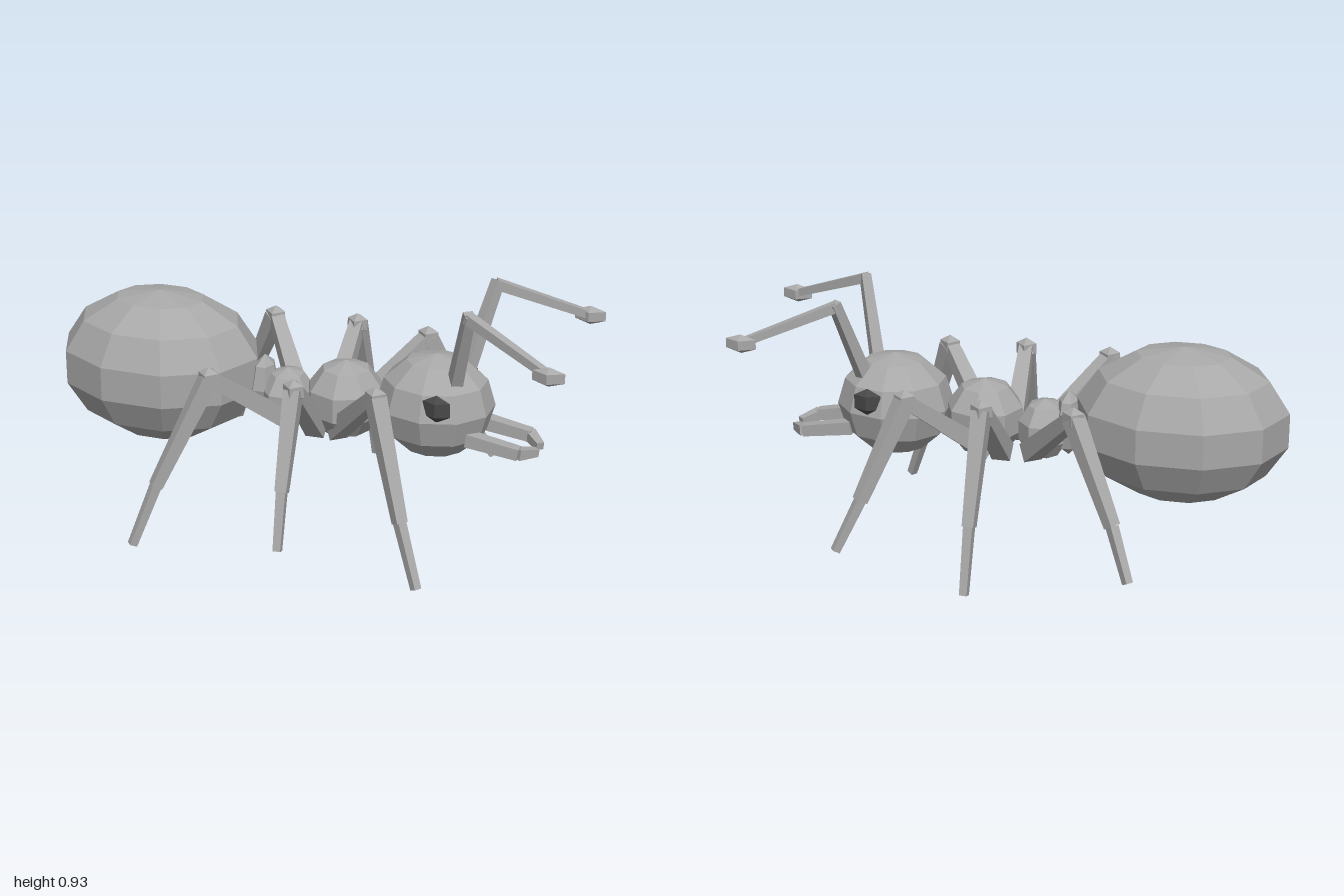
import * as THREE from 'three';

export function createModel() {
  const model = new THREE.Group();
  model.name = 'ant';

  const shell = new THREE.MeshStandardMaterial({ color: 0xa8a8a8, flatShading: true });
  shell.name = 'grey shell';
  const dark = new THREE.MeshStandardMaterial({ color: 0x484848, flatShading: true });
  dark.name = 'dark eye';

  // Faceted ellipsoid with its poles up and down
  function blob(parent, name, pos, radii, sides, rows, turn = 0, material = shell) {
    const geometry = new THREE.SphereGeometry(1, sides, rows);
    geometry.rotateY(turn);
    geometry.scale(...radii);
    const mesh = new THREE.Mesh(geometry, material);
    mesh.position.set(...pos);
    mesh.name = name;
    parent.add(mesh);
  }

  // Square tapered bar from a to b; w0 and w1 are the widths at the ends
  function bar(parent, name, a, b, w0, w1) {
    const start = new THREE.Vector3(...a);
    const end = new THREE.Vector3(...b);
    const geometry = new THREE.CylinderGeometry(w1 * Math.SQRT1_2, w0 * Math.SQRT1_2, start.distanceTo(end), 4);
    geometry.rotateY(Math.PI / 4);
    geometry.rotateX(Math.PI / 2);
    const mesh = new THREE.Mesh(geometry, shell);
    mesh.position.copy(start).lerp(end, 0.5);
    mesh.lookAt(end);
    mesh.name = name;
    parent.add(mesh);
  }

  // Body, from tail to head along +x
  blob(model, 'abdomen', [-0.615, 0.5125, 0], [0.395, 0.2875, 0.304], 10, 7);
  blob(model, 'waistNode', [-0.2, 0.475, 0], [0.05, 0.125, 0.075], 6, 4);
  blob(model, 'rearThorax', [-0.11, 0.445, 0], [0.1, 0.115, 0.12], 8, 5, Math.PI / 8);
  blob(model, 'frontThorax', [0.115, 0.472, 0], [0.15, 0.148, 0.152], 8, 5);
  blob(model, 'head', [0.455, 0.5, 0], [0.217, 0.193, 0.198], 10, 6, Math.PI / 10);

  // Hip, knee, ankle and foot of each leg; z is mirrored
  const legs = [
    { name: 'rearLeg', liftedSide: -1, hip: [-0.07, 0.37, 0.06], knee: [-0.285, 0.62, 0.33],
      ankle: [-0.45, 0.225, 0.45], foot: [-0.52, 0.008, 0.515] },
    { name: 'middleLeg', liftedSide: 1, hip: [0.03, 0.37, 0.08], knee: [0.04, 0.625, 0.345],
      ankle: [0.05, 0.245, 0.49], foot: [0.055, 0.008, 0.55] },
    { name: 'frontLeg', liftedSide: -1, hip: [0.1, 0.365, 0.06], knee: [0.33, 0.625, 0.31],
      ankle: [0.465, 0.225, 0.435], foot: [0.545, 0.008, 0.49] },
  ];

  for (const side of [1, -1]) {
    const sideName = side > 0 ? 'front facing' : 'back facing';
    const at = ([x, y, z], lift = 0) => [x, y + lift, z * side];

    // Legs, alternately planted and lifted
    for (const leg of legs) {
      const group = new THREE.Group();
      group.name = `${leg.name} ${sideName}`;
      const lifted = leg.liftedSide === side;
      const ankle = at(leg.ankle, lifted ? 0.055 : 0);
      bar(group, 'thigh', at(leg.hip), at(leg.knee), 0.07, 0.05);
      blob(group, 'knee', at(leg.knee), [0.045, 0.042, 0.045], 4, 3);
      bar(group, 'shin', at(leg.knee), ankle, 0.06, 0.042);
      bar(group, 'foot', ankle, at(leg.foot, lifted ? 0.092 : 0), 0.034, 0.028);
      model.add(group);
    }

    // Antenna
    const antenna = new THREE.Group();
    antenna.name = `antenna ${sideName}`;
    bar(antenna, 'antennaStalk', at([0.55, 0.625, 0.085]), at([0.622, 0.925, 0.185]), 0.045, 0.036);
    bar(antenna, 'antennaArm', at([0.615, 0.913, 0.182]), at([0.94, 0.79, 0.308]), 0.036, 0.028);
    blob(antenna, 'antennaTip', at([0.935, 0.79, 0.309]), [0.065, 0.035, 0.035], 4, 3);
    model.add(antenna);

    // Eye
    blob(model, `eye ${sideName}`, at([0.51, 0.555, 0.176]), [0.058, 0.052, 0.027], 4, 3, 0, dark);

    // Jaw with an inward bend
    const jaw = new THREE.Group();
    jaw.name = `jaw ${sideName}`;
    bar(jaw, 'jawBase', at([0.6, 0.42, 0.088]), at([0.79, 0.39, 0.086]), 0.05, 0.042);
    bar(jaw, 'jawTip', at([0.785, 0.39, 0.09]), at([0.84, 0.378, 0.025]), 0.04, 0.028);
    model.add(jaw);
  }

  return model;
}
